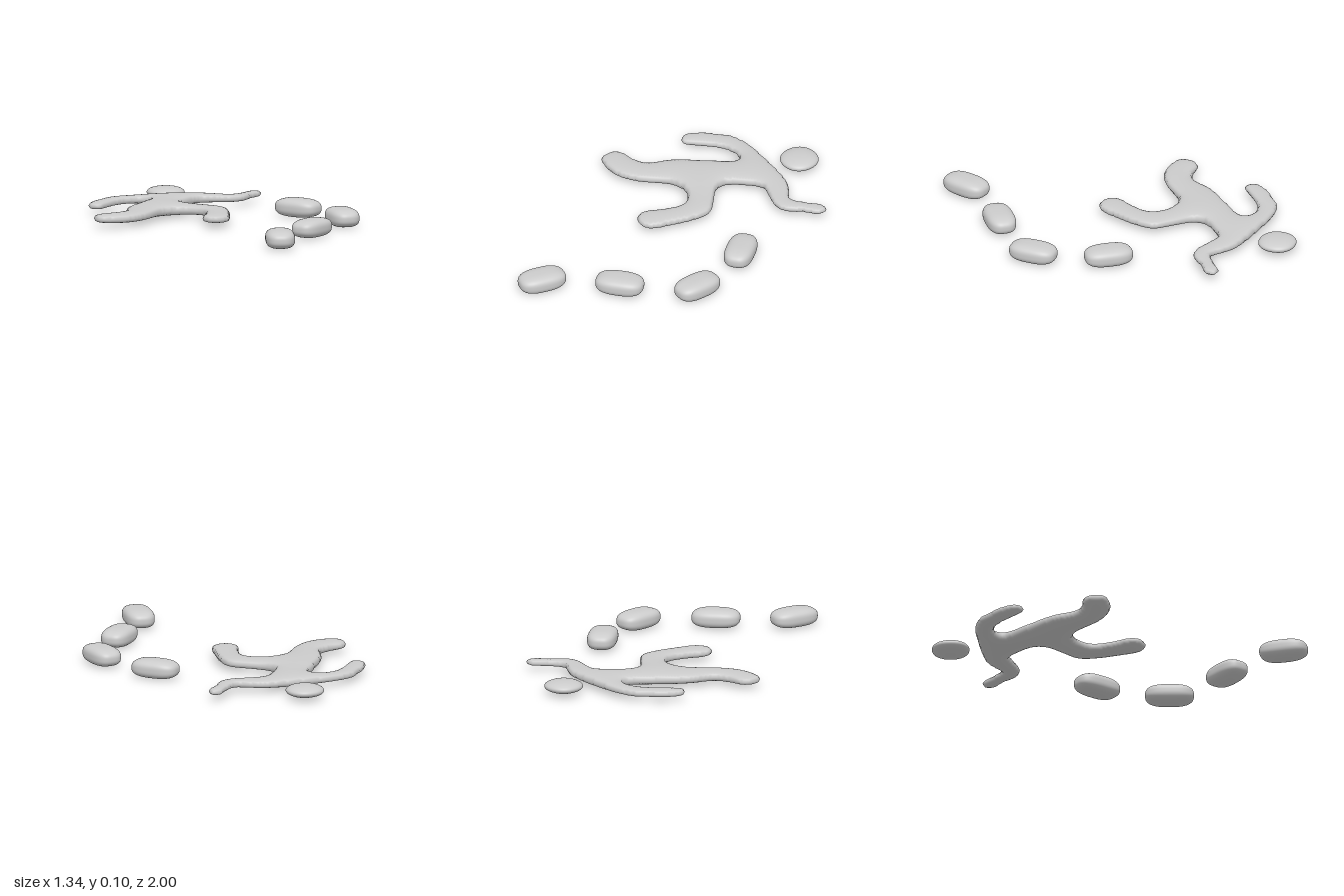
import * as THREE from 'three';
import { mergeVertices } from 'three/addons/utils/BufferGeometryUtils.js';

const material = new THREE.MeshStandardMaterial({ color: 0xcccccc });

// Outline of the running body on the ground plane, as x, z pairs
const OUTLINE = [
  // raised arm and shoulders
  -.513, -.505, -.555, -.545, -.534, -.606, -.444, -.696, -.376, -.747, -.26, -.765, -.127, -.754,
  .005, -.738, .127, -.712, .2, -.669,
  // other arm
  .255, -.632, .307, -.653, .365, -.7, .415, -.737, .457, -.717, .447, -.675, .381, -.622,
  .312, -.553, .255, -.537, .164, -.563,
  // flank and front leg
  .07, -.59, -.005, -.537, -.075, -.447, -.058, -.378, .02, -.3, .085, -.225, .085, -.13, .048, .003,
  .005, .108, -.048, .137, -.111, .108, -.122, .055, -.075, -.04, -.048, -.15, -.1, -.22,
  // crotch and trailing leg
  -.18, -.247, -.26, -.225, -.365, -.12, -.47, -.055, -.577, -.045, -.656, -.072, -.67, -.125,
  -.635, -.183, -.55, -.193, -.47, -.225, -.407, -.352,
  // back and underarm
  -.286, -.495, -.19, -.617, -.212, -.656, -.312, -.66, -.38, -.62, -.455, -.553,
];

// Signed distance (positive inside) and nearest point on a closed polyline
function nearestOnOutline(line, x, z) {
  let best = Infinity, inside = false, nx = 0, nz = 0;
  for (let k = 0; k < line.length; k++) {
    const a = line[k], b = line[(k + 1) % line.length];
    const ex = b.x - a.x, ez = b.z - a.z;
    const t = THREE.MathUtils.clamp(((x - a.x) * ex + (z - a.z) * ez) / (ex * ex + ez * ez), 0, 1);
    const px = a.x + ex * t, pz = a.z + ez * t;
    const d = Math.hypot(x - px, z - pz);
    if (d < best) { best = d; nx = px; nz = pz; }
    if ((a.z > z) !== (b.z > z) && x < a.x + (z - a.z) / ez * ex) inside = !inside;
  }
  return { d: inside ? best : -best, nx, nz };
}

// Inflate the outline into a pillow: a membrane solved on a grid gives the thickness
function inflatedGeometry(line, cell = 0.011) {
  const x0 = -0.7, z0 = -0.8, nx = Math.ceil(1.2 / cell), nz = Math.ceil(0.98 / cell);
  const row = nx + 1, nodes = [];
  for (let j = 0; j <= nz; j++) for (let i = 0; i <= nx; i++) {
    const x = x0 + i * cell, z = z0 + j * cell;
    const n = nearestOnOutline(line, x, z);
    const free = n.d > 0.35 * cell;
    nodes.push({ free, u: 0, x: free ? x : n.nx, z: free ? z : n.nz, top: -1, bottom: -1 });
  }

  // Membrane equation, with true spacing next to the rim
  const inner = [];
  nodes.forEach((n, k) => {
    if (!n.free) return;
    const around = [k - 1, k + 1, k - row, k + row].map((m) => nodes[m]);
    const s = around.map((m) => Math.max(Math.hypot(m.x - n.x, m.z - n.z), 0.2 * cell));
    const w = s.map((a, q) => 2 / (a * (a + s[q ^ 1])));
    inner.push({ n, around, w, sum: w[0] + w[1] + w[2] + w[3] });
  });
  for (let pass = 0; pass < 700; pass++) {
    for (const { n, around, w, sum } of inner) {
      let total = 1;
      for (let q = 0; q < 4; q++) total += w[q] * around[q].u;
      n.u = total / sum;
    }
  }

  // Upper and lower skins share the rim vertices
  const position = [], index = [];
  const add = (x, y, z) => position.push(x, y, z) / 3 - 1;
  const corner = (n) => {
    if (n.top < 0) {
      const h = n.free ? 0.12 * Math.pow(2 * n.u, 0.3) : 0;
      n.top = add(n.x, h, n.z);
      n.bottom = n.free ? add(n.x, -h, n.z) : n.top;
    }
    return n;
  };
  for (let j = 0; j < nz; j++) for (let i = 0; i < nx; i++) {
    const k = j * row + i;
    const quad = [nodes[k], nodes[k + row], nodes[k + row + 1], nodes[k + 1]];
    if (!quad.some((n) => n.free)) continue;
    quad.forEach(corner);
    // Cut each quad along the diagonal that touches more free corners
    const score = (n) => (n.free ? 1 : 0);
    const turn = score(quad[0]) + score(quad[2]) >= score(quad[1]) + score(quad[3]) ? 0 : 1;
    const [a, b, c, d] = [0, 1, 2, 3].map((q) => quad[(q + turn) % 4]);
    index.push(a.top, b.top, c.top, a.top, c.top, d.top);
    index.push(a.bottom, c.bottom, b.bottom, a.bottom, d.bottom, c.bottom);
  }
  const geometry = new THREE.BufferGeometry();
  geometry.setAttribute('position', new THREE.Float32BufferAttribute(position, 3));
  geometry.setIndex(index);
  geometry.computeVertexNormals();
  return geometry;
}

// Ball squared off by a power, then scaled to its half sizes
function softBlock(hx, hy, hz, power) {
  let geometry = new THREE.IcosahedronGeometry(1, 14);
  geometry.deleteAttribute('uv');
  geometry.deleteAttribute('normal');
  geometry = mergeVertices(geometry, 1e-4);
  const p = geometry.attributes.position;
  const v = new THREE.Vector3();
  for (let i = 0; i < p.count; i++) {
    v.fromBufferAttribute(p, i);
    const size = Math.abs(v.x) ** power + Math.abs(v.y) ** power + Math.abs(v.z) ** power;
    v.multiplyScalar(size ** (-1 / power));
    p.setXYZ(i, v.x * hx, v.y * hy, v.z * hz);
  }
  geometry.computeVertexNormals();
  return geometry;
}

export function createModel() {
  const model = new THREE.Group();
  model.name = 'runningFigure';
  const addPart = (name, geometry, x, y, z, turn = 0) => {
    const mesh = new THREE.Mesh(geometry, material);
    mesh.name = name;
    mesh.position.set(x, y, z);
    mesh.rotation.y = turn;
    model.add(mesh);
  };

  // Body with arms and legs
  const points = [];
  for (let i = 0; i < OUTLINE.length; i += 2) points.push(new THREE.Vector3(OUTLINE[i], 0, OUTLINE[i + 1]));
  const line = new THREE.CatmullRomCurve3(points, true, 'centripetal').getPoints(260).slice(0, -1);
  addPart('body', inflatedGeometry(line), 0, 0.047, 0);

  // Head
  addPart('head', softBlock(0.1, 0.032, 0.1, 2.15), -0.01, 0.047, -0.9);

  // Trail of stepping pads: x, z, turn
  const pad = softBlock(0.078, 0.05, 0.13, 2.8);
  [
    [0.475, -0.13, 0.64],
    [0.593, 0.253, 0],
    [0.32, 0.562, -0.9],
    [0.04, 0.868, -0.26],
  ].forEach(([x, z, turn], i) => addPart(`pad${i + 1}`, pad, x, 0.052, z, turn));

  return model;
}
